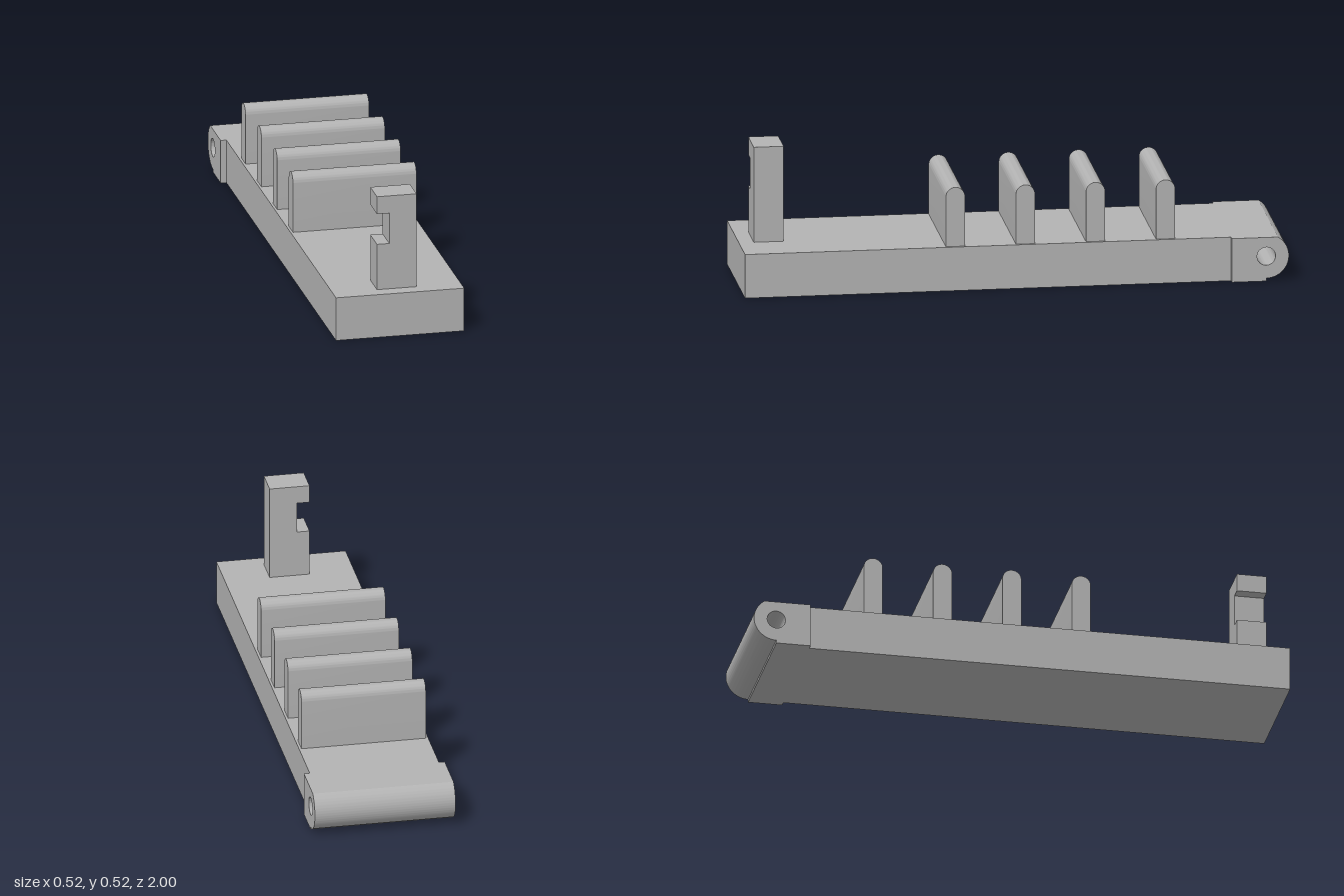
import * as THREE from 'three';
import { toCreasedNormals } from 'three/addons/utils/BufferGeometryUtils.js';

const TOP = 0.165; // height of the base plate

export function createModel() {
  const model = new THREE.Group();
  const grey = new THREE.MeshStandardMaterial({ color: 0xb3b3b3 });
  grey.name = 'plainGrey';

  const add = (name, geometry, x = 0, y = 0, z = 0) => {
    const mesh = new THREE.Mesh(geometry, grey);
    mesh.name = name;
    mesh.position.set(x, y, z);
    model.add(mesh);
  };

  // Extrude a profile to a centred depth, keeping rounded faces smooth
  const extrude = (shape, depth) => {
    const g = new THREE.ExtrudeGeometry(shape, { depth, bevelEnabled: false, curveSegments: 32 });
    g.translate(0, 0, -depth / 2);
    return toCreasedNormals(g, 0.5);
  };
  // Side profile (backward, up) swept across the width
  const sweepAcross = (shape, width) => extrude(shape, width).rotateY(Math.PI / 2);

  // Base plate
  add('basePlate', new THREE.BoxGeometry(0.48, TOP, 1.79), 0, TOP / 2, 0.105);

  // Hinge barrel: block with a rounded end, flat top and pin hole
  const r = 0.083, cu = 0.917, cv = 0.094;
  const hinge = new THREE.Shape();
  hinge.moveTo(0.79, 0);
  hinge.lineTo(cu, 0);
  hinge.lineTo(cu, cv - r);
  hinge.absarc(cu, cv, r, -Math.PI / 2, Math.asin((TOP - cv) / r), false);
  hinge.lineTo(0.79, TOP);
  hinge.closePath();
  const hole = new THREE.Path();
  hole.absarc(cu, cv, 0.034, 0, Math.PI * 2, true);
  hinge.holes.push(hole);
  add('hingeBarrel', sweepAcross(hinge, 0.523));

  // Four round-topped divider fins
  const h = 0.035;
  const fin = new THREE.Shape();
  fin.moveTo(-h, 0);
  fin.lineTo(h, 0);
  fin.lineTo(h, 0.188);
  fin.absarc(0, 0.188, h, 0, Math.PI, false);
  fin.closePath();
  const finGeometry = sweepAcross(fin, 0.462);
  for (let i = 0; i < 4; i++) {
    add(`dividerFin${i + 1}`, finGeometry, 0, TOP, 0.224 - i * 0.258);
  }

  // Latch post with a notch in its right side
  const post = new THREE.Shape([
    [-0.074, TOP], [0.074, TOP], [0.074, 0.524], [-0.074, 0.524],
    [-0.074, 0.457], [-0.028, 0.457], [-0.028, 0.34], [-0.074, 0.34],
  ].map(([x, y]) => new THREE.Vector2(x, y)));
  add('latchPost', extrude(post, 0.11), 0, 0, 0.89);

  return model;
}
